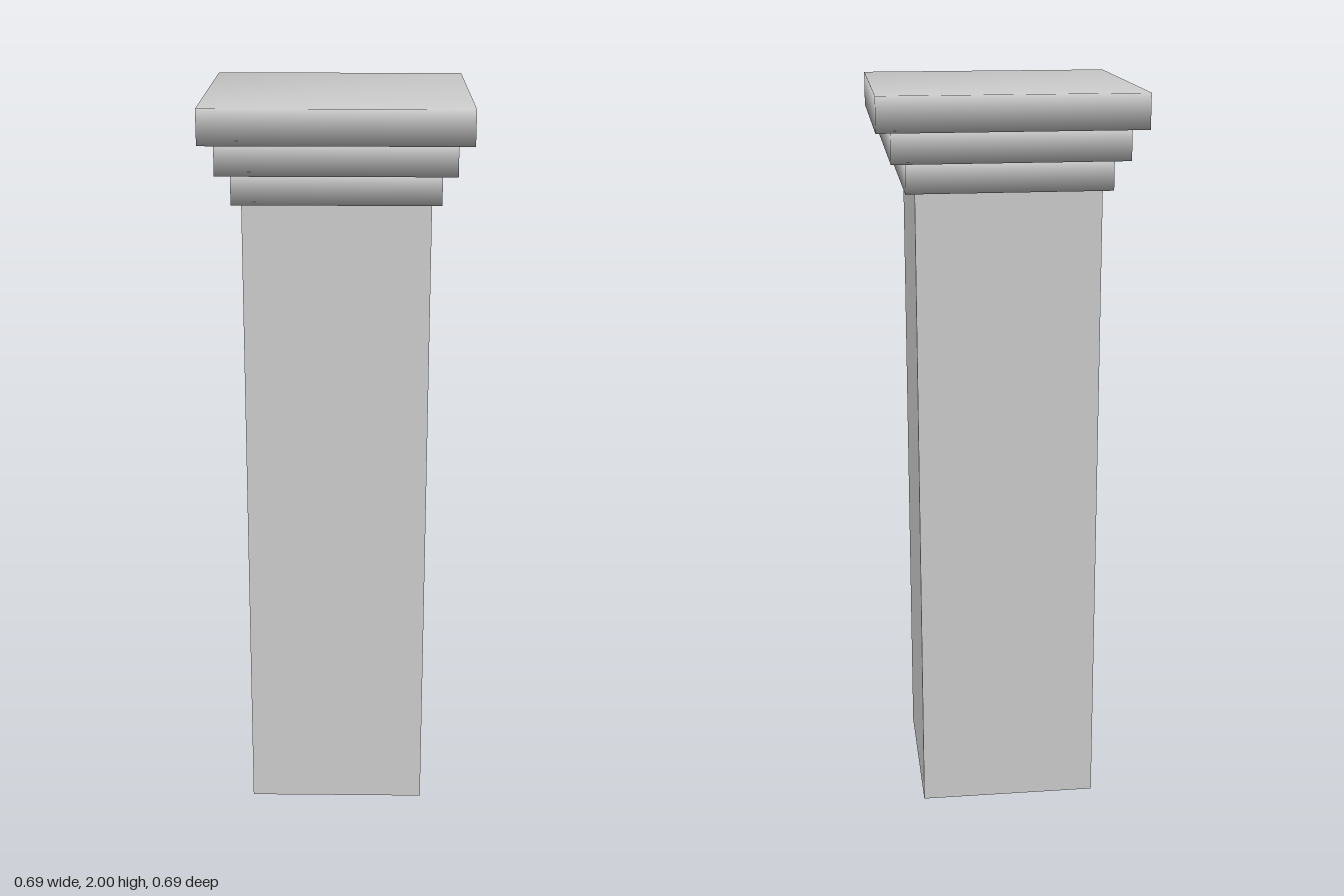
import * as THREE from 'three';
import { mergeVertices } from 'three/addons/utils/BufferGeometryUtils.js';

// Box whose corners share vertices, so its shading runs softly over the edges
function softBox(width, height) {
  const box = new THREE.BoxGeometry(width, height, width);
  box.deleteAttribute('normal');
  box.deleteAttribute('uv');
  const geometry = mergeVertices(box);
  geometry.computeVertexNormals();
  return geometry;
}

export function createModel() {
  const group = new THREE.Group();
  group.name = 'squarePillar';

  // Square shaft: a hollow tube, open at the foot
  const half = 0.243, shaftTop = 1.747;
  const shaftGeometry = new THREE.CylinderGeometry(
    half * Math.SQRT2, half * Math.SQRT2, shaftTop, 4, 1, true);
  shaftGeometry.rotateY(Math.PI / 4);
  const shaft = new THREE.Mesh(shaftGeometry, new THREE.MeshStandardMaterial({
    color: 0xcccccc, flatShading: true, side: THREE.DoubleSide,
  }));
  shaft.name = 'shaft';
  shaft.position.y = shaftTop / 2;
  group.add(shaft);

  // Capital: three slabs stepping outwards
  const capital = new THREE.Group();
  capital.name = 'capital';
  const slabMaterial = new THREE.MeshStandardMaterial({ color: 0xcccccc });
  const slabs = [
    ['lowerSlab', 0.268, 1.747, 1.827],
    ['middleSlab', 0.305, 1.827, 1.909],
    ['topSlab', 0.343, 1.909, 2],
  ];
  for (const [name, halfWidth, bottom, top] of slabs) {
    const slab = new THREE.Mesh(softBox(halfWidth * 2, top - bottom), slabMaterial);
    slab.name = name;
    slab.position.y = (bottom + top) / 2;
    capital.add(slab);
  }
  group.add(capital);

  return group;
}
